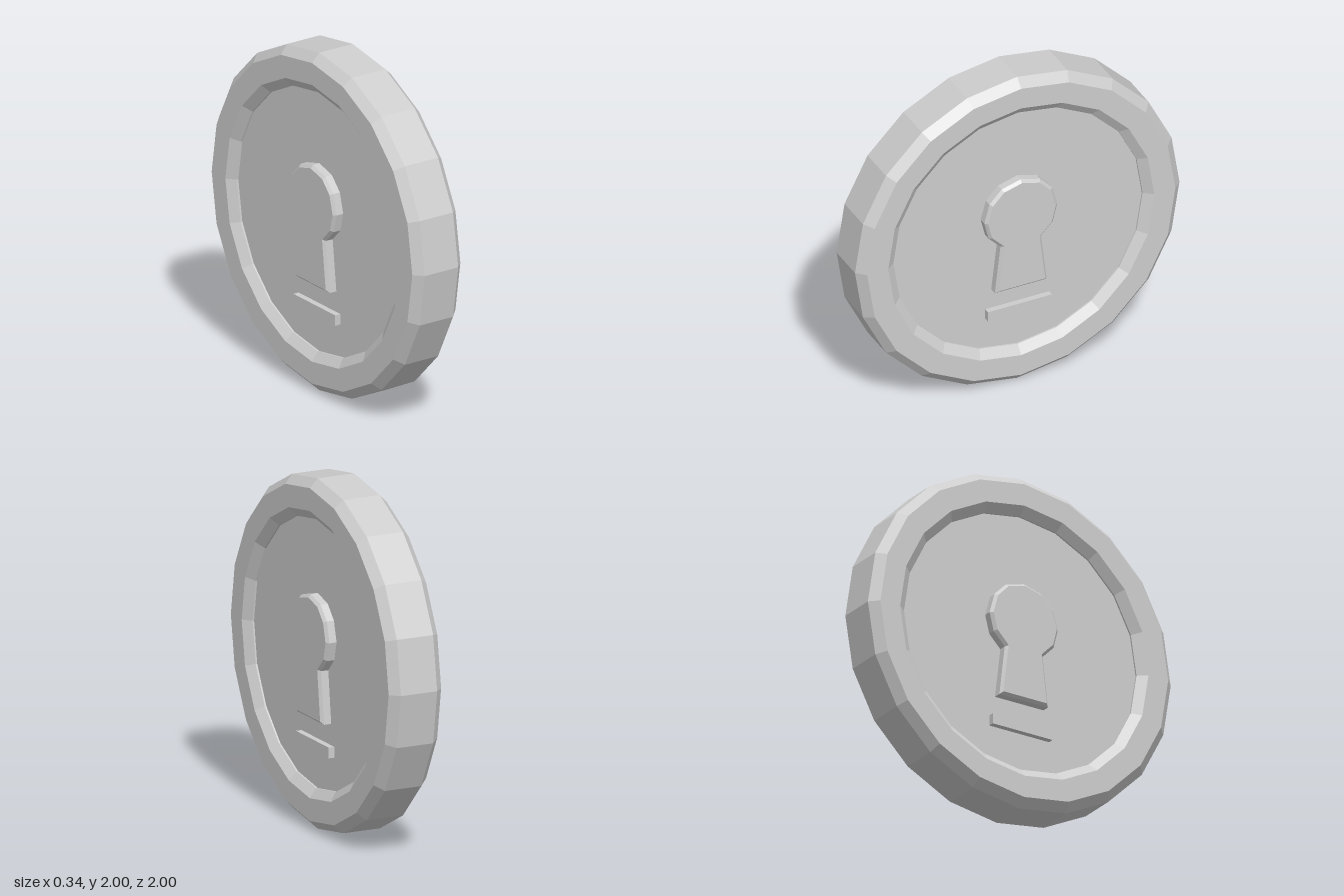
import * as THREE from 'three';

export function createModel() {
  const metal = new THREE.MeshStandardMaterial({ color: 0xcccccc, flatShading: true });
  metal.name = 'pale grey metal';

  const coin = new THREE.Group();
  coin.name = 'coin';
  const add = (name, geometry, parent) => {
    const mesh = new THREE.Mesh(geometry, metal);
    mesh.name = name;
    parent.add(mesh);
  };

  // Twenty-sided body: recessed faces, bevelled raised rim, turned onto the x axis
  const half = [[1, 0.1125], [0.95, 0.1625], [0.82, 0.1625], [0.768, 0.122], [0.768, 0.112], [0, 0.112]];
  const profile = [
    ...half.map(([r, x]) => new THREE.Vector2(r, -x)).reverse(),
    ...half.map(([r, x]) => new THREE.Vector2(r, x)),
  ];
  const body = new THREE.LatheGeometry(profile, 20);
  body.rotateZ(-Math.PI / 2);
  body.translate(0, 1, 0);
  add('coinBody', body, coin);

  // Keyhole outline: one side from the top down, then mirrored
  const side = [[0.118, 1.313], [0.193, 1.235], [0.225, 1.118], [0.198, 1.01], [0.125, 0.935], [0.16, 0.637]];
  const outline = [
    [0, 1.345],
    ...side.map(([z, y]) => [-z, y]),
    ...side.slice().reverse(),
  ].map(([z, y]) => new THREE.Vector2(z, y));
  const keyhole = new THREE.ExtrudeGeometry(new THREE.Shape(outline), {
    depth: 0.05, bevelEnabled: true, bevelSegments: 1,
    bevelThickness: 0.016, bevelSize: 0.016, bevelOffset: -0.016,
  });
  keyhole.translate(0, 0, 0.106);
  keyhole.rotateY(Math.PI / 2);

  // Bar below the keyhole
  const bar = new THREE.BoxGeometry(0.065, 0.062, 0.394);
  bar.translate(0.1145, 0.484, 0);

  // The same emblem on both faces
  for (const [name, turn] of [['leftEmblem', 0], ['rightEmblem', Math.PI]]) {
    const emblem = new THREE.Group();
    emblem.name = name;
    emblem.rotation.y = turn;
    add('keyhole', keyhole, emblem);
    add('bar', bar, emblem);
    coin.add(emblem);
  }
  return coin;
}
